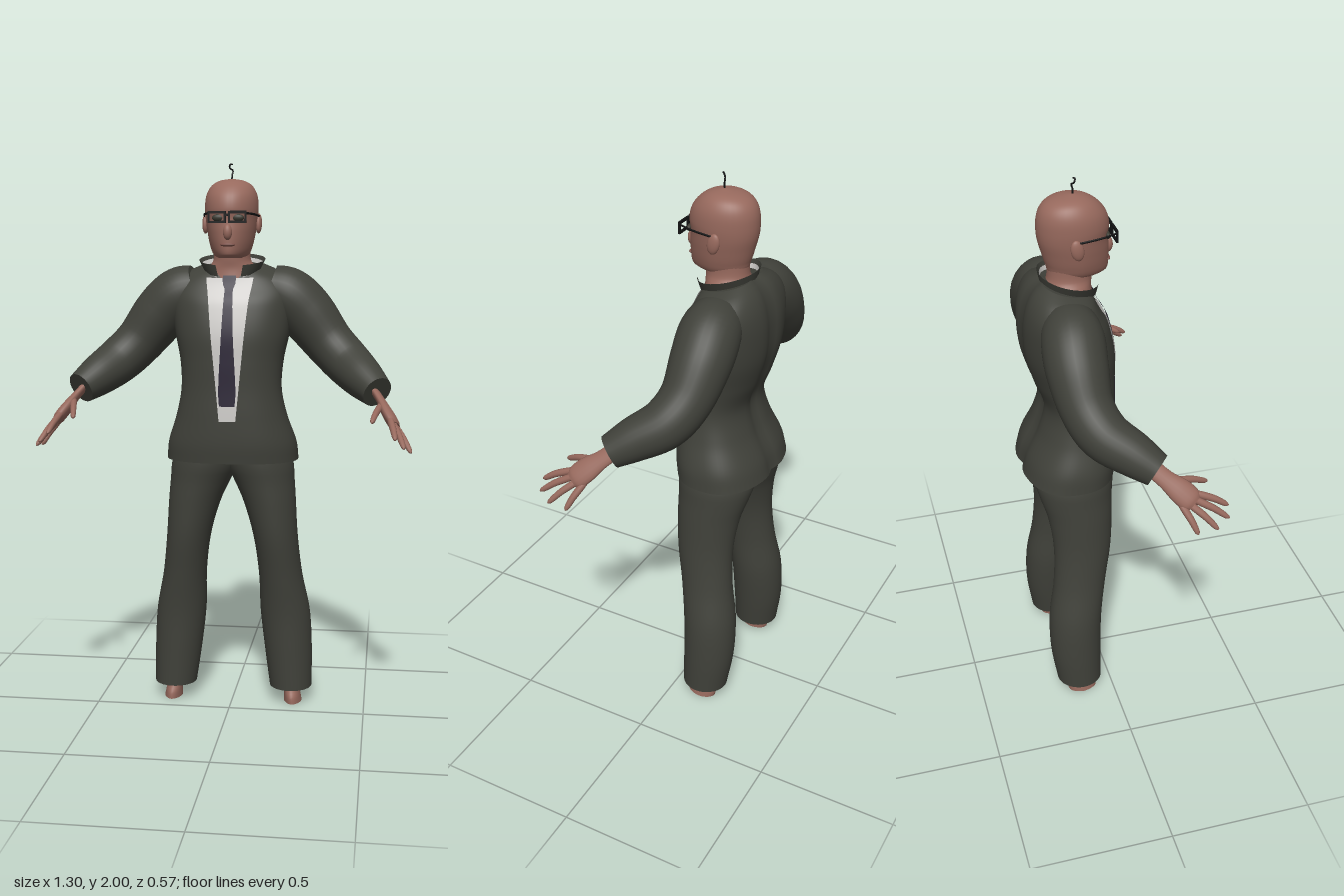
import * as THREE from 'three';

const paint = (name, color) => {
  const m = new THREE.MeshStandardMaterial({ color, side: THREE.DoubleSide });
  m.name = name;
  return m;
};
const V = (x, y, z) => new THREE.Vector3(x, y, z);

// Smooth interpolation through rows of [parameter, ...values]
function interp(keys, t) {
  let i = 0;
  while (i < keys.length - 2 && t > keys[i + 1][0]) i++;
  const a = keys[i], b = keys[i + 1], p = keys[i - 1] || a, n = keys[i + 2] || b;
  const h = b[0] - a[0], u = (t - a[0]) / h;
  return a.slice(1).map((_, k) => {
    const c = k + 1;
    const ma = (b[c] - p[c]) / (b[0] - p[0]) * h, mb = (n[c] - a[c]) / (n[0] - a[0]) * h;
    return (2 * u ** 3 - 3 * u * u + 1) * a[c] + (u ** 3 - 2 * u * u + u) * ma +
      (3 * u * u - 2 * u ** 3) * b[c] + (u ** 3 - u * u) * mb;
  });
}

// Skin over rows of points; closed rows wrap round and get end caps
function surface(rows, closed) {
  const n = rows[0].length, last = rows.length - 1, pts = rows.flat(), idx = [];
  for (let i = 0; i < last; i++) {
    for (let j = 0; j < (closed ? n : n - 1); j++) {
      const k = (j + 1) % n, a = i * n + j, b = i * n + k, c = a + n, d = b + n;
      idx.push(a, c, b, b, c, d);
    }
  }
  if (closed) {
    for (const [r, flip] of [[0, false], [last, true]]) {
      const mid = V(0, 0, 0);
      rows[r].forEach(p => mid.addScaledVector(p, 1 / n));
      const start = pts.length;
      pts.push(mid, ...rows[r].map(p => p.clone()));
      for (let j = 0; j < n; j++) {
        const a = start + 1 + j, b = start + 1 + (j + 1) % n;
        idx.push(start, flip ? b : a, flip ? a : b);
      }
    }
  }
  const g = new THREE.BufferGeometry().setFromPoints(pts);
  g.setIndex(idx);
  g.computeVertexNormals();
  return g;
}

const range = (n, f) => Array.from({ length: n + 1 }, (_, i) => f(i / n));
const spow = (v, p) => Math.sign(v) * Math.abs(v) ** p;

// Upright body from keys of [y, centre x, half width, front z, back z, front taper]
function body(keys, steps = 40, sides = 36) {
  const y0 = keys[0][0], y1 = keys[keys.length - 1][0];
  return surface(range(steps, u => {
    const y = y0 + (y1 - y0) * u, [cx, rx, zf, zb, taper] = interp(keys, y);
    return Array.from({ length: sides }, (_, j) => {
      const t = j / sides * Math.PI * 2, s = Math.sin(t);
      return V(cx + rx * Math.cos(t) * (1 - taper * Math.max(0, s)), y, (zf + zb) / 2 + (zf - zb) / 2 * s);
    });
  }), true);
}

// Limb along points of [x, y, z, radius]; flat squashes it across the ref axis
function limb(points, ref = V(0, 0, 1), flat = 1, steps = 20, sides = 16) {
  const keys = points.map((p, i) => [i, ...p]), end = points.length - 1;
  const at = t => V(...interp(keys, t).slice(0, 3));
  return surface(range(steps, f => {
    const t = f * end, c = at(t), r = interp(keys, t)[3];
    const d = at(Math.min(end, t + 0.02)).sub(at(Math.max(0, t - 0.02))).normalize();
    const u = ref.clone().addScaledVector(d, -ref.dot(d)).normalize(), v = u.clone().cross(d);
    return Array.from({ length: sides }, (_, j) => {
      const a = j / sides * Math.PI * 2;
      return c.clone().addScaledVector(u, r * Math.cos(a)).addScaledVector(v, r * flat * Math.sin(a));
    });
  }), true);
}

// Jacket body: [y, half width, front z, back z]
const jacketKeys = [
  [0.935, 0.243, 0.048, -0.285], [1.0, 0.236, 0.055, -0.268], [1.1, 0.203, 0.056, -0.222],
  [1.2, 0.183, 0.054, -0.2], [1.3, 0.188, 0.055, -0.233], [1.4, 0.208, 0.052, -0.26],
  [1.5, 0.22, 0.03, -0.265], [1.57, 0.22, 0.003, -0.255], [1.62, 0.19, -0.012, -0.235],
  [1.65, 0.145, -0.02, -0.21], [1.66, 0.115, -0.026, -0.195]];
const BULGE = 2.4;
function jacketPoint(q, t) {
  const [rx, zf, zb] = interp(jacketKeys, q), s = spow(Math.sin(t), 2 / BULGE);
  const x = rx * spow(Math.cos(t), 2 / BULGE);
  const dent = s < 0 ? 0.014 * Math.exp(-((x / 0.03) ** 2)) : 0;
  const slope = 0.045 * THREE.MathUtils.smoothstep(q, 1.5, 1.66) * (s + 1) / 2;
  return V(x, q - slope, (zf + zb) / 2 + (zf - zb) / 2 * s + dent);
}
// Thin strip lying on the jacket front, from [height, half width] keys
function frontStrip(keys, lift) {
  const q0 = keys[0][0], q1 = keys[keys.length - 1][0];
  return surface(range(40, u => {
    const q = q0 + (q1 - q0) * u, w = interp(keys, q)[0], rx = interp(jacketKeys, q)[0];
    return range(8, k => {
      const x = w * (1 - 2 * k);
      const p = jacketPoint(q, Math.acos(spow(x / rx, BULGE / 2)));
      p.z += lift;
      return p;
    });
  }), false);
}
// Standing collar, open at the throat
function collarBand(grow, y0, y1, gap) {
  return surface(range(6, v => range(40, u => {
    const t = Math.PI / 2 + gap + u * (Math.PI * 2 - 2 * gap), s = Math.sin(t);
    const r = 0.1 + 0.02 * v + grow;
    return V(r * Math.cos(t), y0 + (y1 - y0) * v - 0.022 * (s + 1), -0.095 + (0.094 + 0.008 * v + grow) * s);
  })), false);
}

export function createModel() {
  const model = new THREE.Group();
  model.name = 'suitedMan';
  const suit = paint('charcoal suit', 0x40413a), skin = paint('skin', 0x97695d);
  const shirtWhite = paint('shirt white', 0xcfcdca), tieColor = paint('tie purple', 0x2d2738);
  const black = paint('black', 0x121313), lip = paint('lips', 0x7a4f47), eye = paint('eye shade', 0x39382f);
  const add = (name, geo, mat, parent = model) => {
    const m = new THREE.Mesh(geo, mat);
    m.name = name;
    parent.add(m);
    return m;
  };
  const blob = (name, mat, pos, size) => {
    const m = add(name, new THREE.SphereGeometry(1, 20, 14), mat);
    m.position.set(...pos);
    m.scale.set(...size);
    return m;
  };

  // Jacket, shirt front and tie
  const SIDES = 64;
  add('jacket', surface(range(50, u => Array.from({ length: SIDES }, (_, j) =>
    jacketPoint(0.935 + 0.725 * u, j / SIDES * Math.PI * 2))), true), suit);
  add('shirtFront', frontStrip([[1.09, 0.03], [1.3, 0.05], [1.5, 0.07], [1.64, 0.085]], 0.004), shirtWhite);
  add('tie', frontStrip([[1.145, 0.028], [1.2, 0.031], [1.4, 0.021], [1.58, 0.015],
    [1.61, 0.022], [1.65, 0.024]], 0.009), tieColor);
  add('collar', collarBand(0, 1.645, 1.685, 0.42), suit);
  add('shirtCollar', collarBand(-0.008, 1.63, 1.672, 0.5), shirtWhite);

  // Neck and head
  add('neck', body([[1.59, 0, 0.1, -0.012, -0.185, 0], [1.63, 0, 0.088, -0.018, -0.18, 0],
    [1.66, 0, 0.068, -0.015, -0.167, 0], [1.72, 0, 0.066, -0.01, -0.165, 0]], 16), skin);
  add('head', body([
    [1.668, 0, 0.045, 0.024, -0.12, 0.25], [1.678, 0, 0.062, 0.038, -0.155, 0.25],
    [1.71, 0, 0.076, 0.043, -0.17, 0.2], [1.76, 0, 0.087, 0.043, -0.185, 0.12],
    [1.8, 0, 0.093, 0.04, -0.195, 0.06], [1.84, 0, 0.096, 0.044, -0.198, 0.04],
    [1.88, 0, 0.093, 0.034, -0.194, 0.02], [1.91, 0, 0.082, 0.012, -0.18, 0],
    [1.93, 0, 0.064, -0.014, -0.155, 0], [1.942, 0, 0.036, -0.043, -0.118, 0],
    [1.946, 0, 0.008, -0.07, -0.085, 0]], 60), skin);
  blob('nose', skin, [0, 1.757, 0.041], [0.016, 0.028, 0.018]);
  blob('lips', lip, [0, 1.714, 0.038], [0.027, 0.007, 0.01]);
  add('hairCurl', new THREE.TubeGeometry(new THREE.CatmullRomCurve3([V(0, 1.94, -0.075), V(0.002, 1.962, -0.075),
    V(0.004, 1.975, -0.078), V(-0.007, 1.984, -0.072), V(-0.005, 1.995, -0.068), V(0.003, 1.997, -0.072)]),
    30, 0.003, 6), black);

  // Glasses: one rim per eye, bridge and temples
  const glasses = new THREE.Group();
  glasses.name = 'glasses';
  model.add(glasses);
  const rim = new THREE.Shape([[-0.032, -0.021], [0.032, -0.021], [0.032, 0.021], [-0.032, 0.021]]
    .map(p => new THREE.Vector2(...p)));
  rim.holes.push(new THREE.Path([[-0.025, -0.013], [-0.025, 0.012], [0.025, 0.012], [0.025, -0.013]]
    .map(p => new THREE.Vector2(...p))));
  const rimGeo = new THREE.ExtrudeGeometry(rim, { depth: 0.007, bevelEnabled: false });
  add('bridge', new THREE.BoxGeometry(0.014, 0.008, 0.007), black, glasses).position.set(0, 1.817, 0.055);

  for (const s of [1, -1]) {
    const side = s > 0 ? 'left' : 'right';
    const flip = pts => pts.map(([x, ...rest]) => [x * s, ...rest]);

    // Face sides
    add(side + 'Rim', rimGeo, black, glasses).position.set(s * 0.036, 1.809, 0.052);
    add(side + 'Temple', limb(flip([[0.067, 1.822, 0.055, 0.004], [0.088, 1.82, 0, 0.004],
      [0.1, 1.815, -0.085, 0.004]]), V(0, 1, 0), 0.6, 8, 8), black, glasses);
    blob(side + 'Eye', eye, [s * 0.034, 1.807, 0.03], [0.023, 0.013, 0.01]);
    blob(side + 'Ear', skin, [s * 0.096, 1.79, -0.085], [0.012, 0.036, 0.022]).rotation.x = -0.2;

    // Sleeve
    add(side + 'Sleeve', limb(flip([
      [0.13, 1.555, -0.125, 0.09], [0.2, 1.53, -0.13, 0.104], [0.27, 1.465, -0.135, 0.103],
      [0.35, 1.365, -0.125, 0.09], [0.42, 1.295, -0.085, 0.085], [0.48, 1.245, -0.005, 0.074],
      [0.53, 1.205, 0.06, 0.057]]), V(0, 0, 1), 1, 40, 28), suit);

    // Hand: palm, four fingers and thumb
    const hand = new THREE.Group();
    hand.name = side + 'Hand';
    model.add(hand);
    const spread = V(s * 0.27, -0.43, -0.86);
    add('palm', limb(flip([[0.515, 1.215, 0.04, 0.03], [0.545, 1.175, 0.085, 0.031], [0.567, 1.14, 0.125, 0.041],
      [0.586, 1.112, 0.155, 0.041], [0.594, 1.1, 0.168, 0.03]]), spread, 0.48), skin, hand);
    const fingers = {
      index: [[0.577, 1.123, 0.176], [0.595, 1.07, 0.285]],
      middle: [[0.584, 1.113, 0.16], [0.625, 1.04, 0.28]],
      ring: [[0.588, 1.105, 0.142], [0.649, 1.02, 0.235]],
      little: [[0.592, 1.098, 0.125], [0.648, 1.012, 0.168]],
      thumb: [[0.545, 1.165, 0.11], [0.515, 1.12, 0.238]],
    };
    for (const [name, [a, b]] of Object.entries(fingers)) {
      const mix = (t, r, lift = 0) => [...a.map((v, i) => v + (b[i] - v) * t + (i === 1 ? lift : 0)), r];
      add(name + 'Finger', limb(flip([mix(-0.12, 0.011), mix(0.25, 0.0125, 0.004), mix(0.6, 0.0115, 0.006),
        mix(0.9, 0.009, 0.001), mix(1, 0.003)]), spread, 0.95, 14, 10), skin, hand);
    }

    // Trouser leg: [y, inner x, outer x, front z, back z]
    add(side + 'TrouserLeg', body([
      [0.06, 0.142, 0.3, -0.042, -0.21], [0.2, 0.122, 0.3, -0.04, -0.23], [0.35, 0.105, 0.291, -0.035, -0.23],
      [0.5, 0.1, 0.262, -0.015, -0.208], [0.65, 0.08, 0.245, 0.01, -0.2], [0.78, 0.042, 0.237, 0.02, -0.215],
      [0.86, 0.005, 0.231, 0.025, -0.238], [0.92, -0.025, 0.226, 0.032, -0.25], [0.98, -0.025, 0.205, 0.03, -0.235],
    ].map(([y, xi, xo, zf, zb]) => [y, s * (xi + xo) / 2, (xo - xi) / 2, zf, zb, 0])), suit);

    // Bare ankle
    add(side + 'Ankle', body([[0, 0.23, 0.034, -0.062, -0.17, 0.2], [0.025, 0.228, 0.031, -0.065, -0.175, 0.1],
      [0.05, 0.225, 0.029, -0.08, -0.17, 0], [0.09, 0.222, 0.032, -0.085, -0.165, 0]]
      .map(([y, x, ...rest]) => [y, s * x, ...rest]), 10, 20), skin);
  }
  return model;
}
